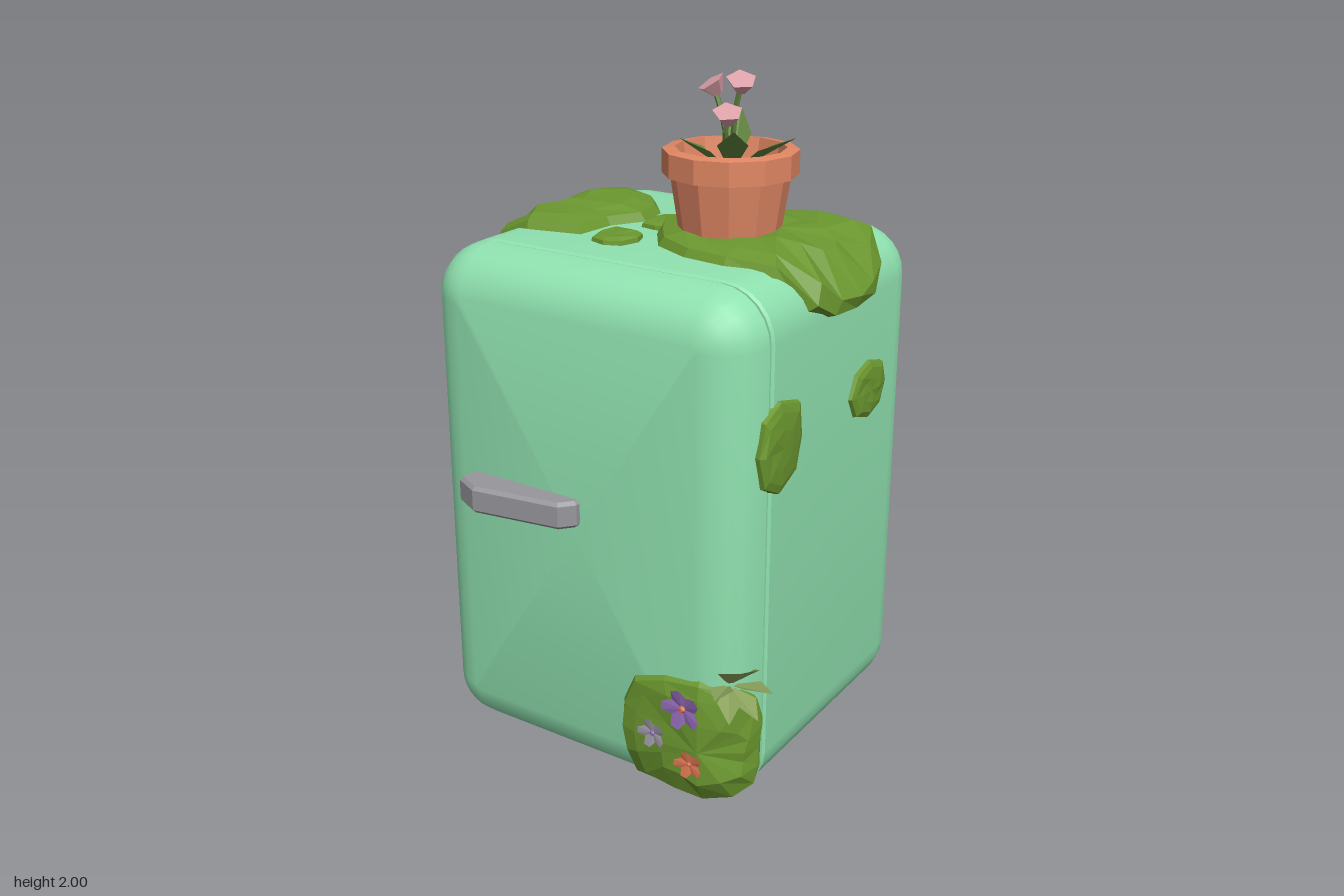
import * as THREE from 'three';
import { toCreasedNormals } from 'three/addons/utils/BufferGeometryUtils.js';

const V = (x, y, z) => new THREE.Vector3(x, y, z);
const UP = V(0, 1, 0);
const mat = (name, color, opts = {}) => {
  const m = new THREE.MeshStandardMaterial({ color, ...opts });
  m.name = name;
  return m;
};

// Rounded box shared by the cabinet, the door and everything growing on them
const R = 0.15;
const CORE = new THREE.Box3(V(-0.385, 0.175, -0.39), V(0.365, 1.38, 0.34));
const outward = p => p.clone().sub(CORE.clampPoint(p, V(0, 0, 0))).normalize();
const onBody = (p, h = 0) => CORE.clampPoint(p, V(0, 0, 0)).addScaledVector(outward(p), R + h);

function seeded(seed) {
  let s = seed * 7919 + 13;
  return () => (s = (s * 16807) % 2147483647) / 2147483647;
}

function fromLists(pos, idx) {
  const g = new THREE.BufferGeometry();
  g.setAttribute('position', new THREE.Float32BufferAttribute(pos, 3));
  g.setIndex(idx);
  g.computeVertexNormals();
  return g;
}

// Skin rounded-rectangle sections [z, inset] from back to front
function loft(sections) {
  const pos = [], idx = [], k = 7, n = 4 * k, m = sections.length;
  for (const [z, inset] of sections) {
    const r = R - inset;
    for (let q = 0; q < 4; q++) {
      const cx = q === 0 || q === 3 ? CORE.max.x : CORE.min.x;
      const cy = q < 2 ? CORE.max.y : CORE.min.y;
      for (let i = 0; i < k; i++) {
        const a = (q + i / (k - 1)) * Math.PI / 2;
        pos.push(cx + r * Math.cos(a), cy + r * Math.sin(a), z);
      }
    }
  }
  for (let i = 0; i < m - 1; i++) for (let j = 0; j < n; j++) {
    const a = i * n + j, b = i * n + (j + 1) % n;
    idx.push(a, b, b + n, a, b + n, a + n);
  }
  pos.push(-0.01, 0.78, sections[0][0], -0.01, 0.78, sections[m - 1][0]);
  for (let j = 0; j < n; j++) {
    const o = (m - 1) * n, j2 = (j + 1) % n;
    idx.push(m * n, j2, j, m * n + 1, o + j, o + j2);
  }
  return toCreasedNormals(fromLists(pos, idx), 0.6);
}

// Faceted moss cushion wrapped over the rounded box: ru is its half width across,
// rv its half height, p how square its outline is, N the way it faces
function mossGeometry(C, ru, rv, thick, p, seed, N = outward(C)) {
  const rnd = seeded(seed), n = Math.max(ru, rv) > 0.15 ? 16 : 8;
  const U = Math.abs(N.y) > 0.99 ? V(1, 0, 0) : UP.clone().cross(N).normalize();
  const W = N.clone().cross(U);
  const pos = onBody(C, thick).toArray(), idx = [];
  const edge = Array.from({ length: n }, () => 0.9 + 0.2 * rnd());
  [[0.4, 1], [0.75, 0.9], [0.93, 0.55], [1, -0.012 / thick]].forEach(([t, h], i) => {
    for (let j = 0; j < n; j++) {
      const a = j / n * Math.PI * 2, c = Math.cos(a), s = Math.sin(a);
      const k = t * edge[j] / Math.pow(Math.abs(c) ** p + Math.abs(s) ** p, 1 / p);
      const q = C.clone().addScaledVector(U, ru * k * c).addScaledVector(W, rv * k * s);
      pos.push(...onBody(q, thick * h * (i < 3 ? 0.85 + 0.3 * rnd() : 1)).toArray());
      const j2 = (j + 1) % n, o = 1 + i * n, b = o - n;
      if (i === 0) idx.push(0, o + j, o + j2);
      else idx.push(b + j, o + j, o + j2, b + j, o + j2, b + j2);
    }
  });
  return fromLists(pos, idx);
}

// Folded pointed leaf from base to tip
function leafGeometry(base, tip, width) {
  const d = tip.clone().sub(base);
  const side = d.clone().cross(UP).setLength(width / 2);
  const lift = side.clone().cross(d).setLength(width * 0.2);
  const mid = base.clone().addScaledVector(d, 0.55);
  const pts = [base, mid.clone().add(side).add(lift), mid, mid.clone().sub(side).add(lift), tip];
  return fromLists(pts.flatMap(q => q.toArray()), [0, 1, 2, 0, 2, 3, 1, 4, 2, 2, 4, 3]);
}

// Five-petalled open blossom facing +z
function blossomGeometry(r) {
  const pos = [0, 0, 0], idx = [];
  for (let i = 0; i < 15; i++) {
    const a = i / 15 * Math.PI * 2, k = i % 3 ? r : r * 0.65;
    pos.push(k * Math.cos(a), k * Math.sin(a), i % 3 ? r * 0.2 : r * 0.05);
    idx.push(0, i + 1, (i + 1) % 15 + 1);
  }
  return fromLists(pos, idx);
}

export function createModel() {
  const flat = { flatShading: true }, thin = { flatShading: true, side: THREE.DoubleSide };
  const mint = mat('mint enamel', 0x90e2b0);
  const moss = mat('moss green', 0x6b972f, flat);
  const clay = mat('terracotta', 0xe08763, flat);
  const metal = mat('grey metal', 0x97979c, flat);
  const darkLeaf = mat('dark leaf', 0x628640, thin);
  const paleLeaf = mat('pale leaf', 0x8fa860, thin);
  const pink = mat('pink petal', 0xdba0a8, thin);
  const purple = mat('purple petal', 0x8f68b4, thin);
  const orange = mat('orange petal', 0xd9724f, thin);
  const grey = mat('mauve grey petal', 0x9a96a4, thin);

  const model = new THREE.Group();
  model.name = 'mossyFridge';
  const add = (name, geometry, material, parent = model) => {
    const m = new THREE.Mesh(geometry, material);
    m.name = name;
    parent.add(m);
    return m;
  };
  const group = (name, parent = model) => {
    const g = new THREE.Group();
    g.name = name;
    parent.add(g);
    return g;
  };

  // Cabinet and door, with a narrow seam between them
  const arc = Array.from({ length: 6 }, (_, i) => i * 0.293)
    .map(a => [R * Math.sin(a), R * (1 - Math.cos(a))]);
  const back = arc.map(([d, i]) => [CORE.min.z - d, i]).reverse();
  const front = arc.slice(1).map(([d, i]) => [CORE.max.z + d, i]);
  add('cabinet', loft([...back, [0.32, 0], [0.328, 0.006]]), mint);
  add('door', loft([[0.336, 0.01], [0.344, 0.001], ...front]), mint);

  // Handle: tapered block
  const bar = new THREE.Shape([V(-0.36, -0.47), V(0, -0.47), V(0, -0.5), V(-0.03, -0.535), V(-0.29, -0.575), V(-0.36, -0.54)]);
  const handle = new THREE.ExtrudeGeometry(bar, { depth: 0.06, bevelSize: 0.01, bevelThickness: 0.01, bevelSegments: 1 });
  add('handle', handle.rotateX(-Math.PI / 2).translate(0, 0.82, 0), metal);

  // Feet
  for (const x of [-0.315, 0.27]) for (const z of [0.21, -0.33]) {
    const foot = add('foot', new THREE.CylinderGeometry(0.075, 0.075, 0.035, 8).rotateY(Math.PI / 8), metal);
    foot.scale.x = 0.7;
    foot.position.set(x, 0.0175, z);
  }

  // Large moss beds: top left, under the pot, front corner, back corner, left side
  const beds = group('mossBeds');
  const addMoss = (x, y, z, ru, rv, thick, p, facing) =>
    add('moss', mossGeometry(V(x, y, z), ru, rv, thick, p, beds.children.length + 3, facing), moss, beds);
  addMoss(-0.535, 1.53, -0.07, 0.26, 0.52, 0.042, 4);
  addMoss(0.29, 1.58, -0.085, 0.32, 0.43, 0.042, 1.7, V(0.5, 0.87, 0).normalize());
  addMoss(0.39, 0.235, 0.44, 0.255, 0.205, 0.026, 4.5);
  addMoss(-0.53, 0.17, -0.53, 0.58, 0.16, 0.03, 2.6);
  addMoss(-0.6, 0.22, -0.17, 0.2, 0.14, 0.026, 2.4);

  // Small moss patches
  addMoss(0.6, 1.095, 0.3, 0.125, 0.125, 0.022, 3);
  addMoss(0.6, 1.1, -0.215, 0.11, 0.09, 0.02, 2.5);
  addMoss(-0.6, 1.11, -0.28, 0.12, 0.1, 0.025, 2.5);
  [[-0.6, 0.965, 0.12], [-0.6, 0.44, -0.1], [-0.29, 0.36, -0.6], [-0.07, 1.6, -0.07], [-0.1, 1.6, 0.135]]
    .forEach(q => addMoss(...q, 0.065, 0.075, 0.022, 2.5));

  // Flowerpot
  const profile = [V(0, 1.5), V(0.135, 1.5), V(0.168, 1.715), V(0.19, 1.718), V(0.19, 1.785), V(0.155, 1.79), V(0.143, 1.72), V(0, 1.715)];
  add('flowerpot', new THREE.LatheGeometry(profile, 12), clay).position.set(0.16, 0, -0.035);

  // Potted plant: leaves, stems and cupped flowers
  const plant = group('pottedPlant'), root = V(0.16, 1.715, -0.04);
  [V(0.35, 1.83, -0.06), V(0.1, 1.87, -0.19), V(0.06, 1.82, 0.07), V(0.25, 1.86, 0.1)]
    .forEach(tip => add('leaf', leafGeometry(root, tip, 0.085), darkLeaf, plant));
  [V(0.09, 1.94, -0.06), V(0.21, 1.965, 0), V(0.2, 1.885, 0.05)].forEach(top => {
    const bend = V((top.x + root.x) / 2, top.y - 0.08, top.z);
    const curve = new THREE.QuadraticBezierCurve3(root, bend, top);
    add('stem', new THREE.TubeGeometry(curve, 5, 0.008, 5), darkLeaf, plant);
    const head = add('pottedFlower', new THREE.CylinderGeometry(0.042, 0.015, 0.04, 5), pink, plant);
    head.position.copy(top);
    head.rotation.set(0.4, 0, (root.x - top.x) * 6);
  });

  // Leaf tufts fanning out from two corners
  const tuft = (name, base, reach, width) => {
    const g = group(name), N = outward(base), U = UP.clone().cross(N);
    for (let i = 0; i < 6; i++) {
      const a = i * Math.PI / 3;
      const tip = base.clone().addScaledVector(N, reach).addScaledVector(U, 0.08 * Math.cos(a));
      tip.y += 0.05 + 0.09 * Math.sin(a);
      add('leaf', leafGeometry(base, tip, width), paleLeaf, g);
    }
  };
  tuft('frontTuft', V(0.46, 0.43, 0.43), 0.15, 0.065);
  tuft('backTuft', V(-0.5, 1, -0.45), 0.11, 0.05);

  // Blossoms on the moss
  const blossoms = group('mossBlossoms');
  const blossom = (x, y, z, r, petals, heart) => {
    const p = V(x, y, z), flower = group('blossom', blossoms);
    flower.position.copy(onBody(p, 0.032));
    flower.quaternion.setFromUnitVectors(V(0, 0, 1), outward(p));
    add('petals', blossomGeometry(r), petals, flower);
    add('heart', new THREE.IcosahedronGeometry(r * 0.2, 0), heart, flower);
  };
  blossom(0.37, 0.37, 0.6, 0.062, purple, orange);
  blossom(0.27, 0.26, 0.6, 0.045, grey, purple);
  blossom(0.4, 0.2, 0.6, 0.043, orange, orange);
  blossom(-0.14, 0.12, -0.6, 0.04, purple, orange);
  blossom(-0.33, 0.13, -0.6, 0.04, grey, purple);
  blossom(-0.6, 0.26, -0.5, 0.045, grey, purple);
  blossom(-0.31, 0.35, -0.6, 0.05, orange, orange);
  blossom(-0.6, 0.42, -0.42, 0.045, orange, orange);

  return model;
}
